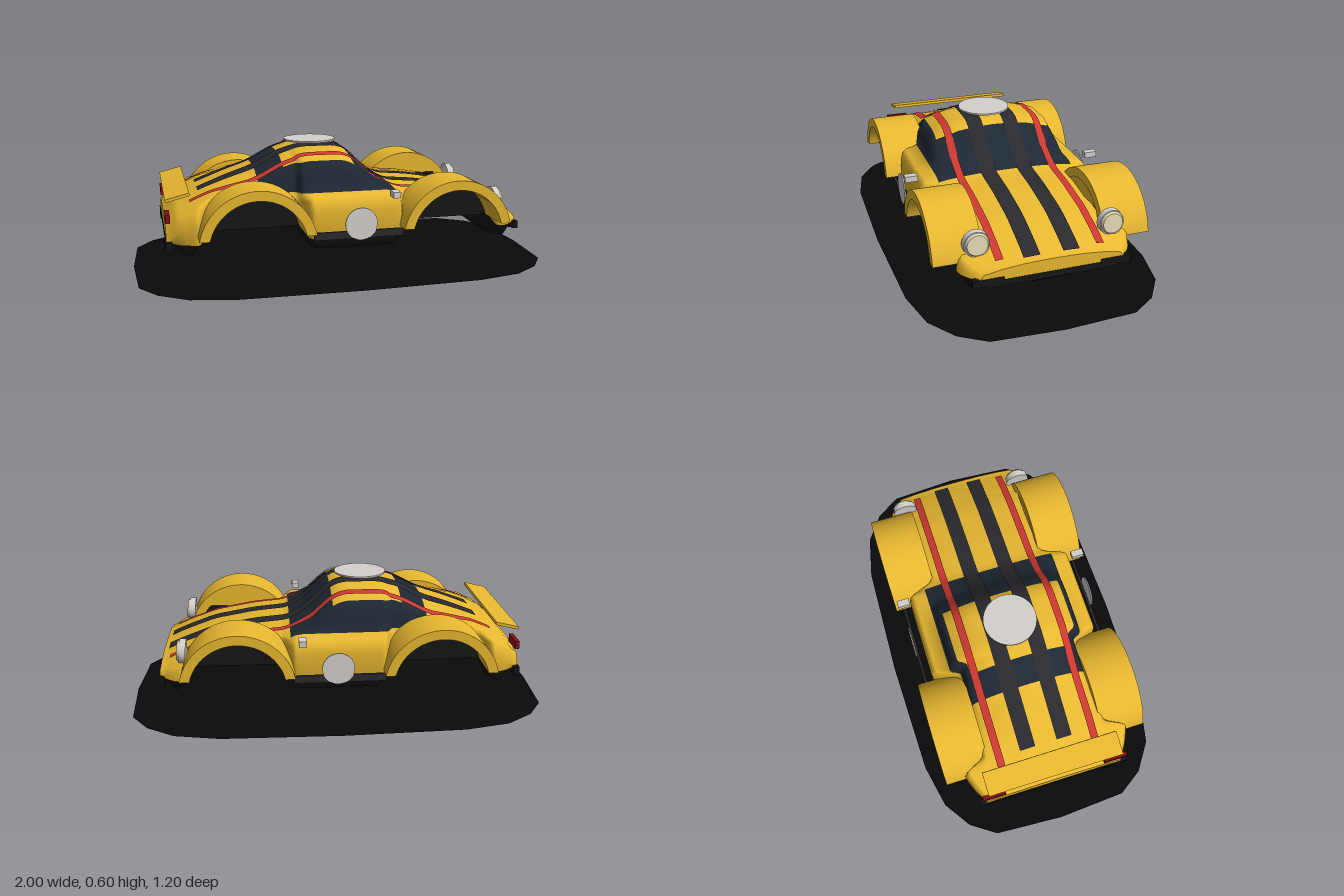
import * as THREE from 'three';
import { toCreasedNormals } from 'three/addons/utils/BufferGeometryUtils.js';

const mat = (color) => new THREE.MeshStandardMaterial({ color, side: THREE.DoubleSide });
const YELLOW = mat(0xe8b830), BLACK = mat(0x161616), GLASS = mat(0x1e2833), STRIPE = mat(0x2a2a2e);
const RED = mat(0xcc3830), DARK_RED = mat(0x8a1018), WHITE = mat(0xd4d0cc), CREAM = mat(0xe2d8b4), SHADOW = mat(0x0a0a0a);

const WHEELS = [-0.455, 0.475];
const ARCH_Y = 0.19, ARCH_R = 0.265, ARCH_IN = 0.22;

// Piecewise linear lookup, and a softened version of it
const lerpTable = (t, x) => {
  if (x <= t[0][0]) return t[0][1];
  for (let i = 1; i < t.length; i++) {
    const [x0, y0] = t[i - 1], [x1, y1] = t[i];
    if (x <= x1) return y0 + (y1 - y0) * (x - x0) / (x1 - x0);
  }
  return t[t.length - 1][1];
};
const soft = (t, x) => {
  let s = 0;
  for (let k = -3; k <= 3; k++) s += lerpTable(t, x + k * 0.01);
  return s / 7;
};

const ROOFLINE = [[-0.85, 0.27], [-0.82, 0.33], [-0.7, 0.385], [-0.55, 0.445], [-0.42, 0.49], [-0.3, 0.555], [-0.2, 0.583],
  [-0.02, 0.583], [0.04, 0.555], [0.15, 0.45], [0.23, 0.395], [0.4, 0.38], [0.6, 0.345], [0.75, 0.29], [0.84, 0.25]];
const WIDTH = [[-0.85, 0.33], [-0.8, 0.37], [-0.7, 0.41], [-0.2, 0.42], [0.25, 0.42], [0.7, 0.41], [0.78, 0.38], [0.84, 0.32]];
const CABIN = [[-0.85, 0.27], [-0.6, 0.3], [-0.42, 0.33], [0.24, 0.335], [0.7, 0.31], [0.84, 0.27]];

// Underside height, cut away over the wheel wells
function bottomY(x, top) {
  let y = 0.11;
  if (x > 0.77) y += (x - 0.77) * 0.85;
  if (x < -0.77) y += (-0.77 - x) * 1.1;
  for (const c of WHEELS) {
    const d = Math.abs(x - c);
    if (d < 0.215) y = ARCH_Y + Math.sqrt(ARCH_IN ** 2 - d * d);
    else if (d < 0.28) y = Math.max(y, 0.237 - (d - 0.215) / 0.065 * 0.127);
  }
  return Math.min(y, top - 0.05);
}

// Half cross-section of the body as [z, y], from bottom centre to top centre
function section(x) {
  const top = soft(ROOFLINE, x), yb = bottomY(x, top);
  const belt = Math.min(0.385, top - 0.025), h = top - belt;
  let w = soft(WIDTH, x);
  for (const c of WHEELS) {
    const k = THREE.MathUtils.smoothstep(Math.abs(x - c), 0.2, 0.26);
    w = 0.31 + (w - 0.31) * k;
  }
  const cw = Math.min(soft(CABIN, x), w * 0.92), cr = cw * 0.87, drop = Math.min(0.045, h * 0.5);
  const cap = (y) => Math.min(y, belt - 0.01);
  const low = cap(Math.max(yb + 0.012, 0.2));
  return [[0, yb], [w * 0.6, cap(yb + 0.008)], [w * 0.92, cap(yb + 0.035)], [w, low], [w * 1.005, Math.max(low, belt - 0.06)],
    [w * 0.985, Math.max(low, belt - 0.02)], [w * 0.94, belt], [cw, belt + Math.min(0.01, h * 0.2)], [cw * 0.97, belt + (h - drop) * 0.55],
    [cr, top - drop], [cr * 0.6, top - drop * 0.3], [cr * 0.3, top - drop * 0.07], [0, top]];
}

// Height of the upper surface at x, z
function topY(x, z) {
  const s = section(x).slice(7).reverse();
  return lerpTable(s, Math.abs(z));
}

function geometry(positions, index) {
  const g = new THREE.BufferGeometry();
  g.setAttribute('position', new THREE.Float32BufferAttribute(positions, 3));
  g.setIndex(index);
  g.computeVertexNormals();
  return g;
}

export function createModel() {
  const car = new THREE.Group();
  const add = (name, geo, material, x = 0, y = 0, z = 0) => {
    const m = new THREE.Mesh(geo, material);
    m.name = name;
    m.position.set(x, y, z);
    car.add(m);
    return m;
  };
  const box = (name, w, h, d, material, x, y, z) => add(name, new THREE.BoxGeometry(w, h, d), material, x, y, z);

  // Body shell lofted along x; quads sorted into paint, glass and underbody
  const N = 169, X0 = -0.85, pos = [], all = [], parts = { bodyPaint: [], windows: [], underbody: [] };
  let ring = 0;
  for (let i = 0; i <= N; i++) {
    const half = section(X0 + i * 0.01);
    const full = [...half, ...half.slice(1, -1).reverse().map(([z, y]) => [-z, y])];
    ring = full.length;
    for (const [z, y] of full) pos.push(X0 + i * 0.01, y, z);
  }
  for (let i = 0; i < N; i++) for (let j = 0; j < ring; j++) {
    const a = i * ring + j, d = i * ring + (j + 1) % ring, b = a + ring, c = d + ring;
    const x = X0 + (i + 0.5) * 0.01, seg = Math.min(j, ring - 1 - j);
    const side = (seg === 7 || seg === 8) && x > -0.42 && x < 0.23;
    const screen = seg > 8 && ((x > 0.03 && x < 0.23) || (x > -0.42 && x < -0.3));
    const quad = [a, b, c, a, c, d];
    all.push(...quad);
    parts[seg < 3 ? 'underbody' : side || screen ? 'windows' : 'bodyPaint'].push(...quad);
  }
  const shell = geometry(pos, all);
  const paints = { bodyPaint: YELLOW, windows: GLASS, underbody: BLACK };
  for (const key in parts) {
    const g = shell.clone();
    g.setIndex(parts[key]);
    add(key, g, paints[key]);
  }

  // Nose and tail panels
  for (const [name, i, flip] of [['tailPanel', 0, true], ['nosePanel', N, false]]) {
    const p = pos.slice(i * ring * 3, (i + 1) * ring * 3), index = [];
    p.push(p[0], 0.22, 0);
    for (let j = 0; j < ring; j++) {
      const k = (j + 1) % ring;
      index.push(ring, ...(flip ? [j, k] : [k, j]));
    }
    add(name, geometry(p, index), YELLOW);
  }

  // Racing stripes draped over the upper surface
  const stripe = (name, z, width, x0, x1, material, lift) => {
    const p = [], index = [], n = 120;
    for (let i = 0; i <= n; i++) {
      const x = x0 + (x1 - x0) * i / n;
      for (const e of [0.5, 0, -0.5]) p.push(x, topY(x, z + e * width) + lift, z + e * width);
      if (i < n) for (const k of [0, 1]) {
        const a = i * 3 + k;
        index.push(a, a + 3, a + 4, a, a + 4, a + 1);
      }
    }
    add(name, geometry(p, index), material);
  };

  // Fender arch with flat ends
  const a0 = Math.asin(0.05 / ARCH_R), a1 = Math.asin(0.05 / ARCH_IN);
  const arch = new THREE.Shape();
  arch.absarc(0, 0, ARCH_R, a0, Math.PI - a0, false);
  arch.absarc(0, 0, ARCH_IN, Math.PI - a1, a1, true);
  const fenderGeo = toCreasedNormals(new THREE.ExtrudeGeometry(arch, { depth: 0.22, bevelEnabled: false, curveSegments: 28 }), 0.5);
  // Inner fender wall above the deck
  const wall = new THREE.Shape();
  wall.absarc(0, 0, 0.235, 0.7, Math.PI - 0.7, false);
  const wallGeo = new THREE.ShapeGeometry(wall, 28);
  // Wheel-well liner running down to a point
  const liner = new THREE.Shape();
  liner.moveTo(0, -0.12);
  liner.absarc(0, 0, ARCH_IN + 0.005, a1, Math.PI - a1, false);
  const linerGeo = new THREE.ShapeGeometry(liner, 28);

  for (const s of [1, -1]) {
    for (const c of WHEELS) {
      add('fender', fenderGeo, YELLOW, c, ARCH_Y, s > 0 ? 0.28 : -0.5);
      add('fenderInnerWall', wallGeo, YELLOW, c, ARCH_Y, s * 0.283);
      add('wheelWellLiner', linerGeo, BLACK, c, ARCH_Y, s * 0.315);
    }
    stripe('redStripe', s * 0.23, 0.036, -0.735, 0.8, RED, 0.008);
    stripe('darkStripe', s * 0.09, 0.075, -0.69, 0.815, STRIPE, 0.006);

    // Headlight: rim and lens, tipped slightly back
    const rim = add('headlightRim', new THREE.CylinderGeometry(0.057, 0.06, 0.03, 28), WHITE, 0.73, 0.32, s * 0.31);
    const lens = add('headlightLens', new THREE.CylinderGeometry(0.046, 0.053, 0.012, 28), CREAM, 0.75, 0.322, s * 0.31);
    rim.rotation.z = lens.rotation.z = -Math.PI / 2 + 0.08;

    box('tailLight', 0.02, 0.038, 0.11, DARK_RED, -0.84, 0.315, s * 0.3);
    box('mirror', 0.035, 0.028, 0.06, WHITE, 0.18, 0.4, s * 0.455);
    box('sillTrim', 0.42, 0.035, 0.012, STRIPE, 0.01, 0.222, s * 0.458);
    box('frontBumperCorner', 0.025, 0.035, 0.14, BLACK, 0.83, 0.19, s * 0.29);
    box('rearBumperCorner', 0.03, 0.04, 0.12, BLACK, -0.84, 0.19, s * 0.31);
    const disc = add('doorRoundel', new THREE.CylinderGeometry(0.075, 0.075, 0.006, 32), WHITE, 0.018, 0.272, s * 0.466);
    disc.rotation.x = Math.PI / 2;
  }

  // Roof roundel, bumper bars and rear wing
  add('roofRoundel', new THREE.CylinderGeometry(0.126, 0.126, 0.008, 40), WHITE, -0.125, 0.598, 0);
  box('frontBumper', 0.02, 0.03, 0.6, BLACK, 0.832, 0.178, 0);
  box('rearBumper', 0.02, 0.035, 0.6, BLACK, -0.842, 0.2, 0);
  box('rearWing', 0.112, 0.014, 0.655, YELLOW, -0.793, 0.405, 0).rotation.z = 0.24;

  // Rounded ground sheet
  const sheet = new THREE.Shape([[1, 0], [0.98, 0.33], [0.9, 0.45], [0.77, 0.54], [0.56, 0.585], [0, 0.6], [-0.56, 0.585],
    [-0.77, 0.54], [-0.9, 0.45], [-0.98, 0.33], [-1, 0], [-0.98, -0.33], [-0.9, -0.45], [-0.77, -0.54], [-0.56, -0.585],
    [0, -0.6], [0.56, -0.585], [0.77, -0.54], [0.9, -0.45], [0.98, -0.33]].map(([x, y]) => new THREE.Vector2(x, y)));
  add('groundSheet', new THREE.ShapeGeometry(sheet), SHADOW).rotation.x = -Math.PI / 2;

  return car;
}
